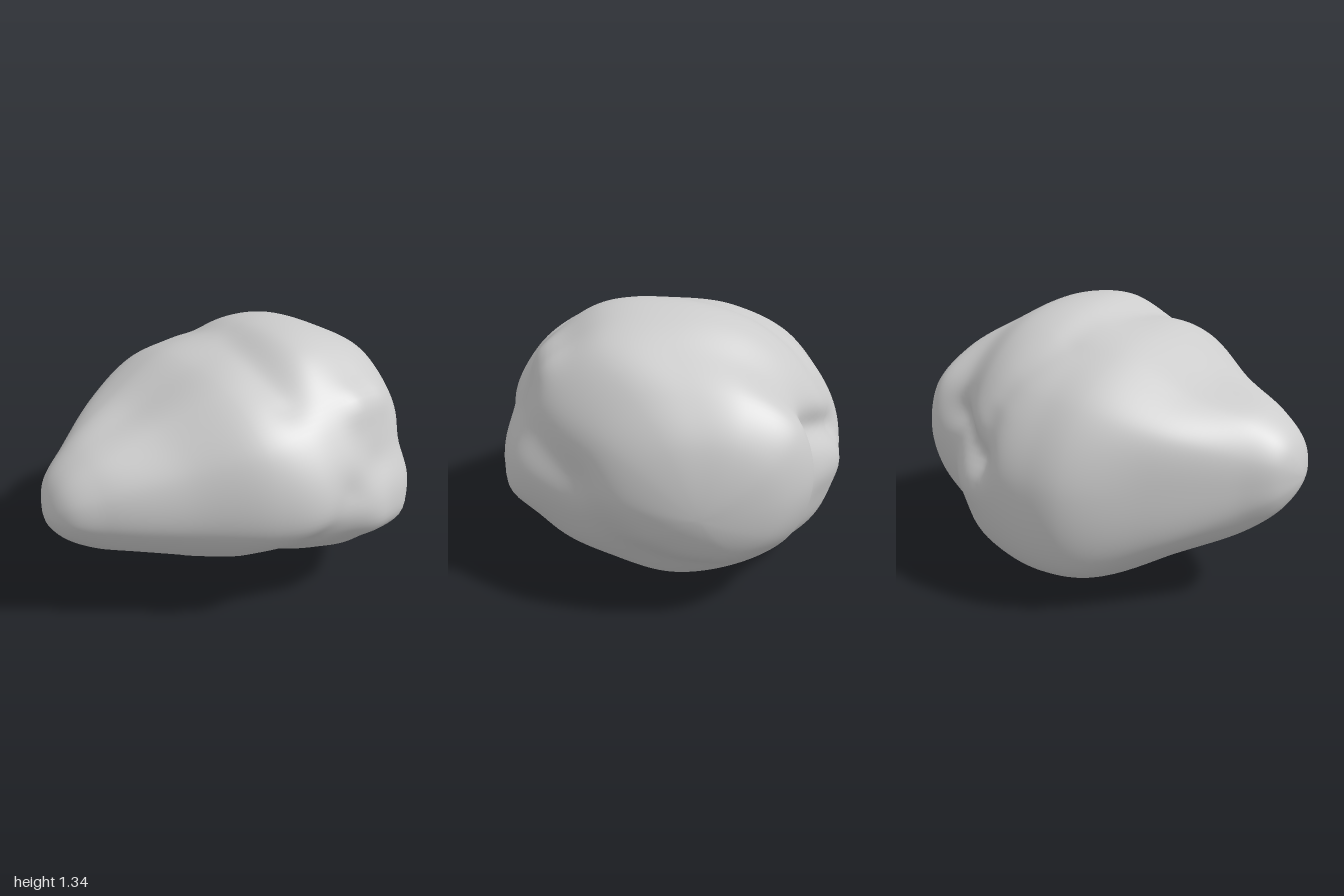
import * as THREE from 'three';

const SIDES = 12;   // control points around each cross-section
const RINGS = 96;   // rings from nose to back
const SEGS = 144;   // vertices around each ring

// Cross-sections along z: centre x, y and radii every 30 degrees from +x, counter-clockwise
const sections = [
  { z: 0.8, cx: 0, cy: 0.66, r: [0.28, 0.3, 0.3, 0.28, 0.28, 0.28, 0.28, 0.31, 0.31, 0.26, 0.24, 0.25] },
  { z: 0.5, cx: -0.02, cy: 0.64, r: [0.51, 0.52, 0.46, 0.4, 0.44, 0.52, 0.53, 0.57, 0.48, 0.4, 0.36, 0.42] },
  { z: 0.2, cx: 0, cy: 0.64, r: [0.72, 0.72, 0.63, 0.56, 0.6, 0.7, 0.78, 0.82, 0.67, 0.57, 0.48, 0.55] },
  { z: 0, cx: 0, cy: 0.65, r: [0.82, 0.77, 0.67, 0.6, 0.63, 0.72, 0.82, 0.87, 0.7, 0.62, 0.52, 0.61] },
  { z: -0.2, cx: 0, cy: 0.65, r: [0.83, 0.77, 0.74, 0.67, 0.67, 0.73, 0.82, 0.85, 0.71, 0.63, 0.58, 0.67] },
  { z: -0.4, cx: 0, cy: 0.65, r: [0.81, 0.74, 0.72, 0.66, 0.66, 0.69, 0.76, 0.79, 0.69, 0.65, 0.62, 0.71] },
  { z: -0.6, cx: 0.02, cy: 0.64, r: [0.73, 0.68, 0.65, 0.58, 0.59, 0.62, 0.64, 0.67, 0.61, 0.58, 0.56, 0.64] },
  { z: -0.8, cx: -0.05, cy: 0.65, r: [0.51, 0.5, 0.46, 0.43, 0.47, 0.54, 0.54, 0.52, 0.46, 0.4, 0.39, 0.44] },
];
const shrink = (s, z, k, cx, cy) => ({ z, cx, cy, r: s.r.map((v) => v * k) });
const rows = [
  shrink(sections[0], 0.95, 0.53, 0.01, 0.67),
  ...sections,
  shrink(sections[7], -0.94, 0.62, -0.1, 0.63),
];
const nose = new THREE.Vector3(0.02, 0.66, 1);
const back = new THREE.Vector3(-0.09, 0.59, -1);

// Grooves (depth > 0) and bulges (depth < 0) pressed along polylines
const strokes = [
  // step below the cap, running down the right flank
  { w: 0.09, depth: 0.018, path: [[-0.77, 0.72, -0.26], [-0.72, 0.98, -0.28], [-0.58, 1.1, -0.2], [-0.35, 1.19, -0.1], [-0.1, 1.23, -0.12], [0.3, 1.24, -0.02], [0.5, 1.14, -0.02]] },
  // hooked pit and the knob below it
  { w: 0.08, depth: 0.055, path: [[-0.77, 0.69, -0.3], [-0.73, 0.75, -0.42], [-0.62, 0.82, -0.6]] },
  { w: 0.1, depth: -0.02, path: [[-0.76, 0.54, -0.38], [-0.68, 0.55, -0.52]] },
  // left flank: notch, lower knob, upper knob, hollow between them
  { w: 0.1, depth: 0.03, path: [[0.82, 0.5, 0], [0.8, 0.74, -0.18]] },
  { w: 0.12, depth: -0.045, path: [[0.8, 0.51, -0.36], [0.76, 0.49, -0.5]] },
  { w: 0.11, depth: -0.045, path: [[0.6, 1.09, -0.34], [0.56, 1.07, -0.46]] },
  { w: 0.12, depth: 0.035, path: [[0.74, 0.82, -0.42], [0.62, 0.8, -0.62], [0.48, 0.68, -0.79]] },
  // underside crease
  { w: 0.1, depth: 0.015, path: [[0.06, 0.05, 0.08], [0.32, 0.26, 0.08], [0.62, 0.44, 0.04]] },
].map((s) => ({ ...s, path: s.path.map((p) => new THREE.Vector3(...p)) }));

const core = new THREE.Vector3(0, 0.65, 0);
const near = new THREE.Vector3();
const line = new THREE.Line3();

function carve(p) {
  let push = 0;
  for (const { w, depth, path } of strokes) {
    let d2 = Infinity;
    for (let i = 1; i < path.length; i++) {
      line.set(path[i - 1], path[i]).closestPointToPoint(p, true, near);
      d2 = Math.min(d2, near.distanceToSquared(p));
    }
    push += depth * Math.exp(-d2 / (w * w));
  }
  return p.addScaledVector(core.clone().sub(p).normalize(), push);
}

function rockGeometry() {
  const point = (s, i) => {
    const a = (i / SIDES) * Math.PI * 2;
    return new THREE.Vector3(s.cx + s.r[i] * Math.cos(a), s.cy + s.r[i] * Math.sin(a), s.z);
  };
  // Closed loops through both tips join each column to the opposite one
  const half = SIDES / 2;
  const loops = [];
  for (let i = 0; i < half; i++) {
    const there = rows.map((s) => point(s, i));
    const again = rows.map((s) => point(s, i + half)).reverse();
    loops.push(new THREE.CatmullRomCurve3([nose, ...there, back, ...again], true));
  }
  const column = (i, t) => (i < half ? loops[i].getPoint(t / 2) : loops[i - half].getPoint(1 - t / 2));

  const pos = [];
  const index = [];
  pos.push(...nose.toArray());
  for (let k = 1; k < RINGS; k++) {
    const knots = Array.from({ length: SIDES }, (_, i) => column(i, k / RINGS));
    const ring = new THREE.CatmullRomCurve3(knots, true);
    for (let j = 0; j < SEGS; j++) pos.push(...carve(ring.getPoint(j / SEGS)).toArray());
  }
  pos.push(...back.toArray());

  const id = (k, j) => 1 + (k - 1) * SEGS + (j % SEGS);
  const last = pos.length / 3 - 1;
  for (let j = 0; j < SEGS; j++) {
    index.push(0, id(1, j), id(1, j + 1));
    for (let k = 1; k < RINGS - 1; k++) {
      const a = id(k, j), b = id(k, j + 1), c = id(k + 1, j), d = id(k + 1, j + 1);
      index.push(a, c, b, b, c, d);
    }
    index.push(id(RINGS - 1, j), last, id(RINGS - 1, j + 1));
  }
  const geo = new THREE.BufferGeometry();
  geo.setAttribute('position', new THREE.Float32BufferAttribute(pos, 3));
  geo.setIndex(index);
  geo.computeVertexNormals();
  return geo;
}

export function createModel() {
  const group = new THREE.Group();
  group.name = 'boulder';
  const rock = new THREE.Mesh(rockGeometry(), new THREE.MeshStandardMaterial({ color: 0xcccccc }));
  rock.name = 'rock';
  group.add(rock);
  return group;
}
